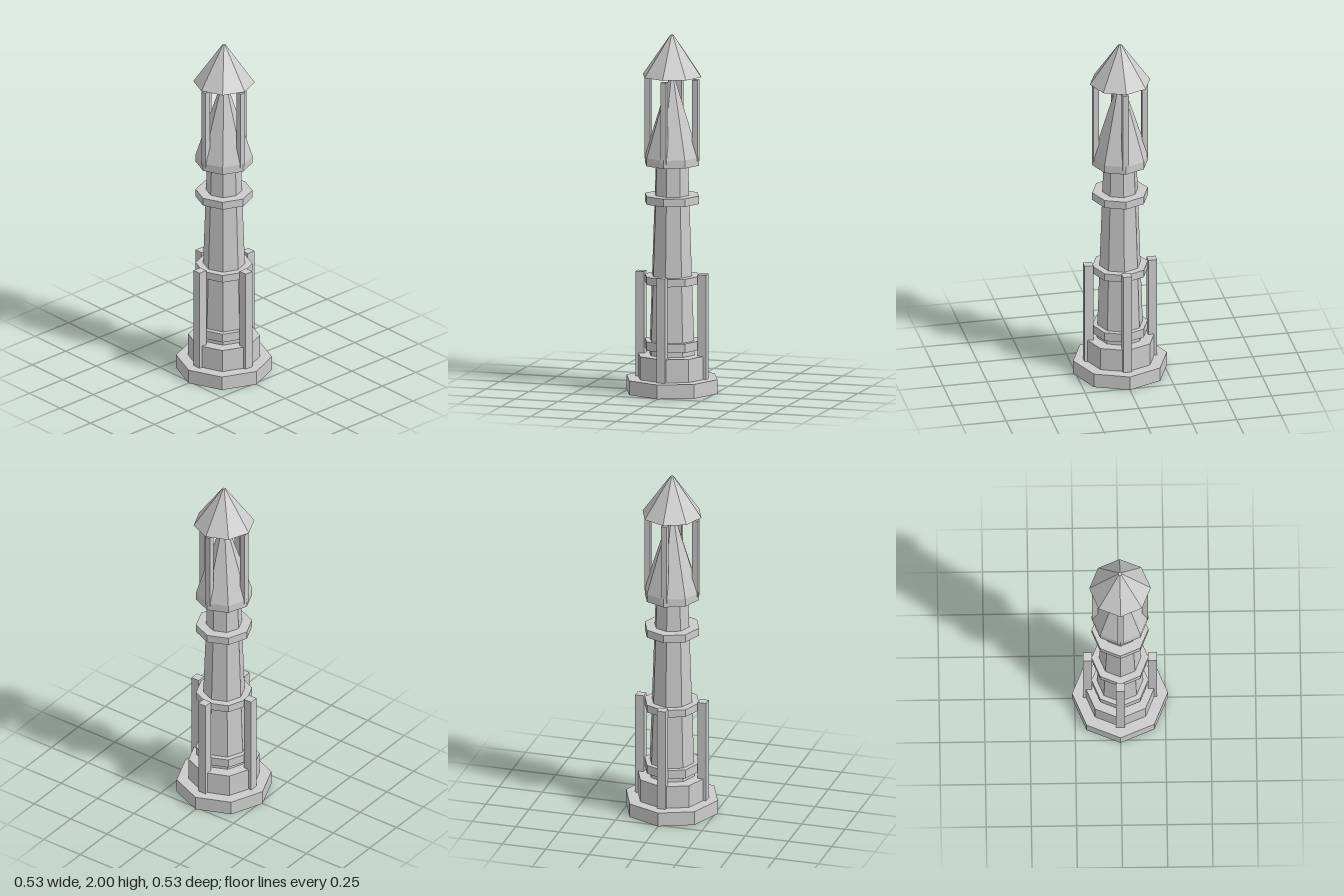
import * as THREE from 'three';

export function createModel() {
  const tower = new THREE.Group();
  tower.name = 'tower';
  const material = new THREE.MeshStandardMaterial({ color: 0xcccccc, flatShading: true });

  function add(name, geometry, x, y, z) {
    const mesh = new THREE.Mesh(geometry, material);
    mesh.name = name;
    mesh.position.set(x, y, z);
    tower.add(mesh);
  }

  // Eight-sided tier between two heights, corners on the x and z axes
  function octagon(name, y0, y1, rBottom, rTop = rBottom) {
    add(name, new THREE.CylinderGeometry(rTop, rBottom, y1 - y0, 8), 0, (y0 + y1) / 2, 0);
  }

  // Four square posts, one on each axis
  function posts(name, y0, y1, radius, width) {
    for (const [x, z] of [[1, 0], [0, 1], [-1, 0], [0, -1]]) {
      add(name, new THREE.BoxGeometry(width, y1 - y0, width), x * radius, (y0 + y1) / 2, z * radius);
    }
  }

  // Stepped foot
  octagon('base', 0, 0.08, 0.265);
  octagon('plinth', 0.08, 0.21, 0.198);

  // Tapered shaft with bands
  octagon('shaft', 0.21, 1.275, 0.131, 0.094);
  octagon('lowerBand', 0.24, 0.29, 0.157);
  octagon('middleBand', 0.61, 0.653, 0.157);
  octagon('upperBand', 1.06, 1.105, 0.157);
  posts('buttress', 0.08, 0.667, 0.18, 0.05);

  // Belfry: gallery, inner spire, slim posts and roof
  octagon('gallery', 1.275, 1.32, 0.157);
  octagon('innerSpire', 1.32, 1.78, 0.157, 0.01);
  posts('belfryPost', 1.3, 1.757, 0.138, 0.033);
  octagon('roof', 1.772, 2, 0.17, 0.01);

  return tower;
}
